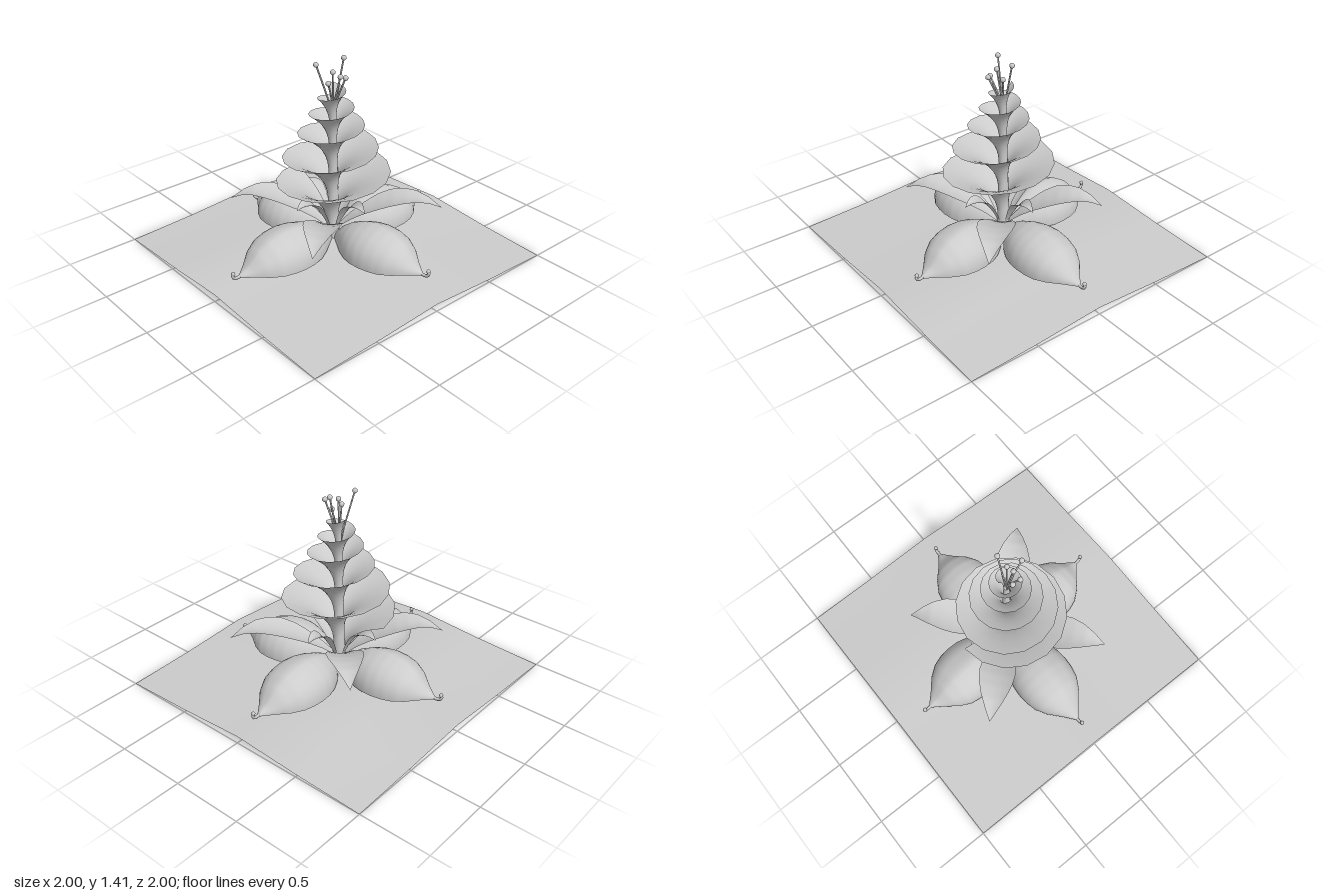
import * as THREE from 'three';
import { ParametricGeometry } from 'three/addons/geometries/ParametricGeometry.js';

const material = new THREE.MeshStandardMaterial({ color: 0xcccccc, side: THREE.DoubleSide });

function surface(name, fn, nu, nv) {
  const mesh = new THREE.Mesh(new ParametricGeometry(fn, nu, nv), material);
  mesh.name = name;
  return mesh;
}

function tube(name, points, radius, segments = 10) {
  const path = new THREE.CatmullRomCurve3(points.map(p => new THREE.Vector3(...p)));
  const mesh = new THREE.Mesh(new THREE.TubeGeometry(path, segments, radius, 6), material);
  mesh.name = name;
  return mesh;
}

// Linear look-up in evenly spaced samples, t from 0 to 1
function sample(table, t) {
  const f = Math.min(Math.max(t, 0), 1) * (table.length - 1);
  const i = Math.min(Math.floor(f), table.length - 2);
  return THREE.MathUtils.lerp(table[i], table[i + 1], f - i);
}

// Domed sheet of ground, highest in the middle
function makeGround() {
  const rise = [0.052, 0.02, 0];
  return surface('ground', (u, v, p) => {
    const x = 2 * u - 1, z = 1 - 2 * v;
    p.set(x, sample(rise, Math.abs(x)) + sample(rise, Math.abs(z)), z);
  }, 4, 4);
}

// Spiral bract: a flaring trumpet profile swept up a narrowing helix
function makeSpiral() {
  const lipHeight = [0.52, 0.69, 0.87, 1.01, 1.12, 1.23];
  const lipRadius = [0.4, 0.365, 0.255, 0.175, 0.115, 0.065];
  const turns = 5;
  return surface('spiralBract', (u, v, p) => {
    const a = u * turns * Math.PI * 2;
    const R = sample(lipRadius, u), h = sample(lipHeight, u);
    const throat = 0.04 - 0.02 * u;
    const depth = 0.42 - 0.22 * u;
    const r = throat + (R - throat) * v ** 3;
    const shift = v ** 3 * (1 - u);
    p.set(-Math.sin(a) * r - 0.012 * shift, h - depth * (1 - v), -Math.cos(a) * r + 0.028 * shift);
  }, turns * 16, 10);
}

// Hooded outer petal along +x, ending in a curled tip
function makeOuterPetal(length) {
  const petal = new THREE.Group();
  petal.name = 'outerPetal';
  const half = [0.015, 0.075, 0.135, 0.18, 0.205, 0.213, 0.208, 0.19, 0.145, 0.075, 0.012];
  const tall = [0.03, 0.11, 0.16, 0.19, 0.207, 0.213, 0.205, 0.185, 0.14, 0.06, 0.012];
  petal.add(surface('petalHood', (u, v, p) => {
    const a = Math.PI * v;
    const ridge = 0.012 * Math.max(0, 1 - Math.abs(v - 0.5) * 8) * Math.sin(Math.PI * u);
    p.set(0.02 + (length - 0.08) * u,
      0.105 + sample(tall, u) * Math.sin(a) ** 0.9 + ridge - 0.006,
      sample(half, u) * Math.cos(a));
  }, 20, 16));
  const L = length;
  petal.add(tube('petalCurl', [
    [L - 0.15, 0.135, 0], [L - 0.08, 0.107, 0], [L - 0.03, 0.103, 0], [L - 0.008, 0.118, 0], [L - 0.012, 0.143, 0],
  ], 0.011));
  const bud = new THREE.Mesh(new THREE.SphereGeometry(0.014, 8, 6), material);
  bud.name = 'petalCurlEnd';
  bud.position.set(L - 0.012, 0.143, 0);
  petal.add(bud);
  return petal;
}

// Arching pointed leaf along +x with a shallow fold down the middle
function makeLeaf(name, reach, width, heights) {
  const half = [0.2, 0.45, 0.7, 0.92, 1, 0.92, 0.7, 0.38, 0.0];
  return surface(name, (u, v, p) => {
    const s = 2 * v - 1;
    p.set(0.03 + (reach - 0.03) * u,
      sample(heights, u) + 0.025 * s * s * Math.sin(Math.PI * u),
      s * width * sample(half, u));
  }, 16, 6);
}

// Stamen filament with a round anther
function makeStamen(x, y, z) {
  const stamen = new THREE.Group();
  stamen.name = 'stamen';
  stamen.add(tube('filament', [[0, 1.0, 0], [x * 0.3, 1.13, z * 0.3], [x, y, z]], 0.006, 8));
  const anther = new THREE.Mesh(new THREE.SphereGeometry(0.018, 10, 8), material);
  anther.name = 'anther';
  anther.position.set(x, y, z);
  stamen.add(anther);
  return stamen;
}

export function createModel() {
  const model = new THREE.Group();
  model.name = 'spiralFlower';
  model.add(makeGround(), makeSpiral());

  // Stem core joining the spiral to the ground
  const stem = new THREE.Mesh(new THREE.CylinderGeometry(0.02, 0.045, 0.95, 12), material);
  stem.name = 'stem';
  stem.position.y = 0.575;
  model.add(stem);

  // Four outer petals: direction of each tip as [x, z]
  for (const [x, z] of [[0.86, 0], [-0.86, 0], [0.125, 0.81], [-0.09, -0.815]]) {
    const petal = makeOuterPetal(Math.hypot(x, z));
    petal.rotation.y = Math.atan2(-z, x);
    model.add(petal);
  }

  // Four long leaves on the diagonals
  const longArch = [0.18, 0.25, 0.305, 0.35, 0.385, 0.405, 0.41, 0.39, 0.345];
  for (const [x, z] of [[0.53, 0.52], [0.47, -0.49], [-0.48, -0.53], [-0.55, 0.44]]) {
    const leaf = makeLeaf('innerLeaf', Math.hypot(x, z), 0.125, longArch);
    leaf.rotation.y = Math.atan2(-z, x);
    model.add(leaf);
  }

  // Four short leaves between them
  const shortArch = [0.18, 0.25, 0.31, 0.36, 0.395, 0.415, 0.425, 0.425, 0.41];
  for (let i = 0; i < 4; i++) {
    const leaf = makeLeaf('shortLeaf', 0.32, 0.06, shortArch);
    leaf.rotation.y = i * Math.PI / 2;
    model.add(leaf);
  }

  // Stamens rising from the top
  for (const tip of [[-0.11, 1.38, -0.04], [0.09, 1.39, 0], [0, 1.31, 0.12],
    [-0.08, 1.27, 0.045], [0.035, 1.28, 0.03], [-0.03, 1.33, 0.03]]) {
    model.add(makeStamen(...tip));
  }
  return model;
}
